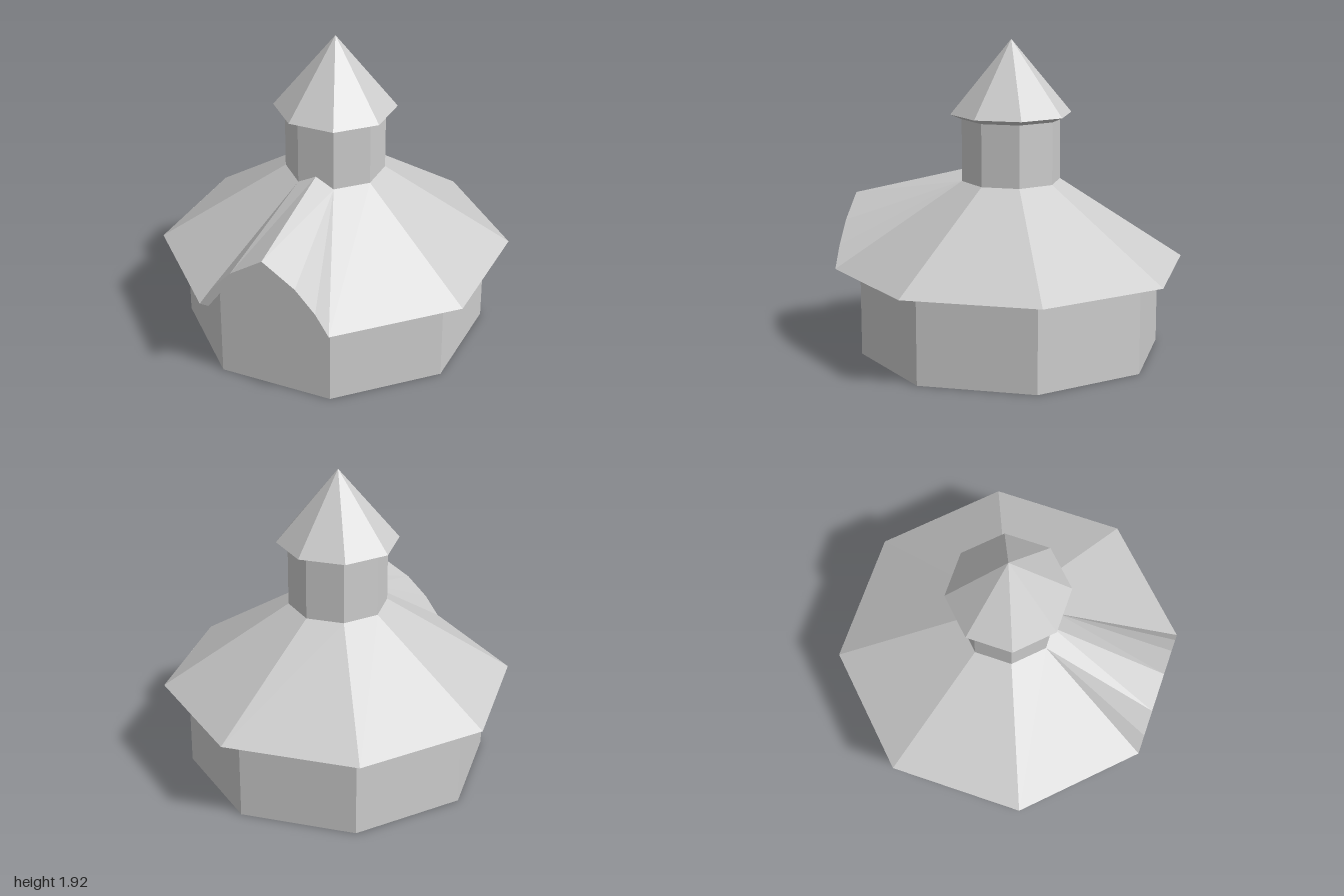
import * as THREE from 'three';

const material = new THREE.MeshStandardMaterial({ color: 0xcccccc, side: THREE.DoubleSide, flatShading: true });
material.name = 'pale grey';

// Octagonal band given by distances from the centre to its flat sides;
// openFront leaves out the side facing +z.
function octagonBand(name, topRadius, bottomRadius, bottomY, topY, openFront = false) {
  const k = 1 / Math.cos(Math.PI / 8);
  const sides = openFront ? 7 : 8;
  const geometry = new THREE.CylinderGeometry(
    topRadius * k, bottomRadius * k, Math.max(topY - bottomY, 1e-4),
    sides, 1, true, Math.PI / 8, sides * Math.PI / 4).toNonIndexed();
  geometry.translate(0, (topY + bottomY) / 2, 0);
  return flatMesh(name, geometry);
}

function flatMesh(name, geometry) {
  geometry.computeVertexNormals();
  const mesh = new THREE.Mesh(geometry, material);
  mesh.name = name;
  return mesh;
}

// Skin between two rows of equally many points
function strip(name, a, b) {
  const positions = [];
  for (let i = 0; i < a.length - 1; i++) {
    for (const p of [a[i], a[i + 1], b[i + 1], a[i], b[i + 1], b[i]]) positions.push(...p);
  }
  const geometry = new THREE.BufferGeometry();
  geometry.setAttribute('position', new THREE.Float32BufferAttribute(positions, 3));
  return flatMesh(name, geometry);
}

// Left half of an arch, mirrored to the right
const mirrored = (half) => [...half, ...half.slice(0, -1).reverse().map(([x, y]) => [-x, y])];
const atZ = (points, z) => points.map(([x, y]) => [x, y, z]);

export function createModel() {
  const model = new THREE.Group();
  model.name = 'octagonalPavilion';

  const eaveY = 0.545, ridgeY = 1.065;
  const wall = 0.86, wallHalf = wall * Math.tan(Math.PI / 8);
  const eaveHalf = Math.tan(Math.PI / 8);
  const tower = 0.28, towerHalf = tower * Math.tan(Math.PI / 8);

  // Main body, open below, with the front side left for the arched wall
  model.add(octagonBand('walls', wall, wall, 0, eaveY, true));
  model.add(octagonBand('mainRoof', tower, 1, eaveY, ridgeY, true));
  model.add(octagonBand('eaveSoffit', 1, wall, eaveY, eaveY, true));

  // Arched gable at the front
  const outer = mirrored([[-eaveHalf, eaveY], [-0.33, 0.675], [-0.205, 0.807], [0, 0.94]]);
  const inner = mirrored([[-wallHalf, eaveY], [-0.275, 0.655], [-0.155, 0.77], [0, 0.86]]);
  const corner = [-towerHalf, ridgeY];
  const back = mirrored([corner, corner, corner, [0, 1.125]]);

  const wallShape = new THREE.Shape(
    [[-wallHalf, 0], [wallHalf, 0], ...inner.slice().reverse()].map(([x, y]) => new THREE.Vector2(x, y)));
  const frontWall = new THREE.ShapeGeometry(wallShape).toNonIndexed();
  frontWall.translate(0, 0, wall);
  model.add(flatMesh('archedFrontWall', frontWall));
  model.add(strip('gableRoof', atZ(outer, 1), atZ(back, tower)));
  model.add(strip('gableFascia', atZ(inner, 1), atZ(outer, 1)));
  model.add(strip('gableSoffit', atZ(inner, wall), atZ(inner, 1)));

  // Lantern tower and its pointed cap
  model.add(octagonBand('towerWalls', tower, tower, ridgeY, 1.445));
  model.add(octagonBand('capSoffit', 0.344, tower, 1.445, 1.475));
  model.add(octagonBand('capRoof', 0, 0.344, 1.475, 1.925));

  return model;
}
